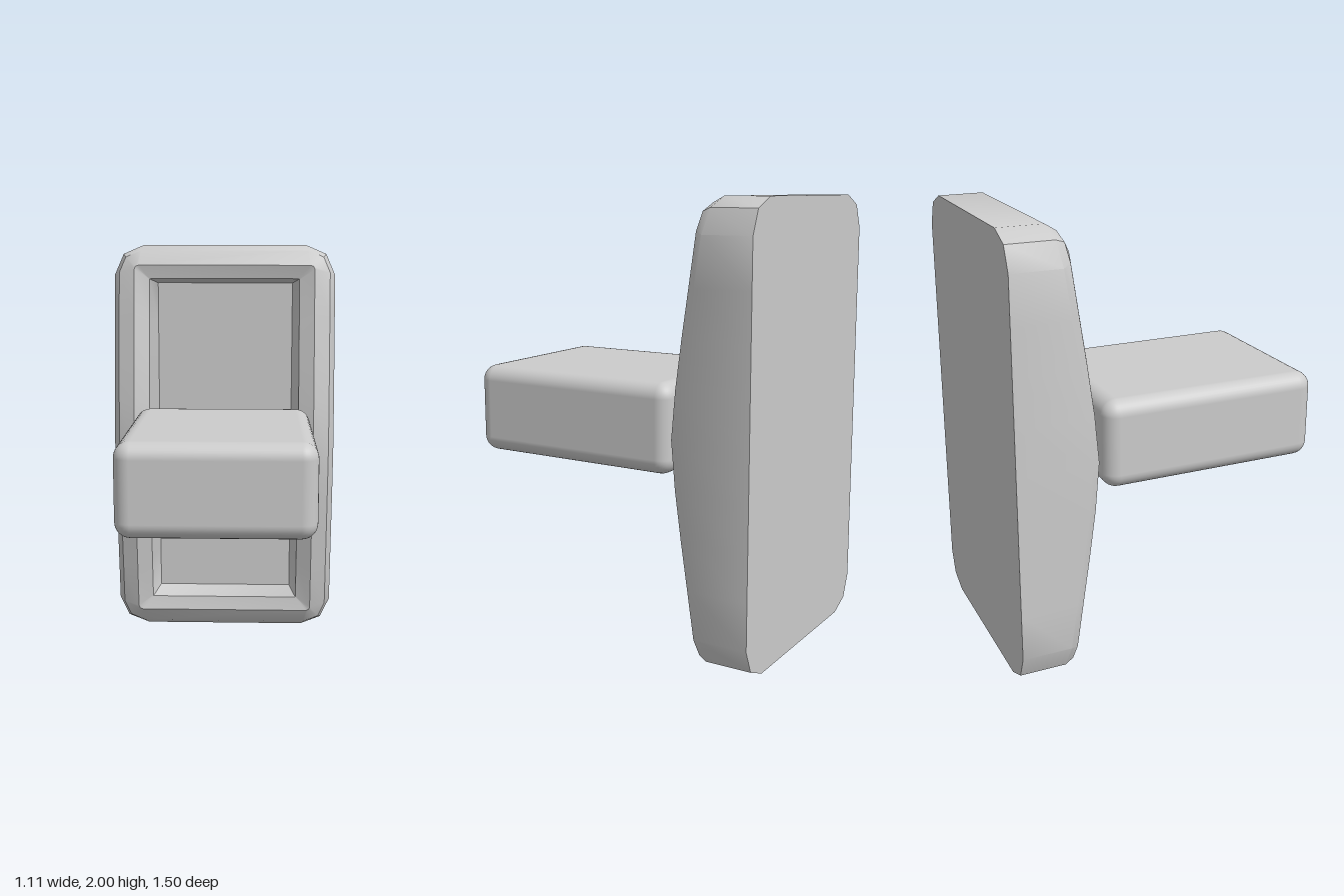
import * as THREE from 'three';
import { toCreasedNormals } from 'three/addons/utils/BufferGeometryUtils.js';
import { RoundedBoxGeometry } from 'three/addons/geometries/RoundedBoxGeometry.js';

const BACK = -0.75, FLOOR = -0.62, HALF_W = 0.557, HALF_H = 1;
const SIDE_STEPS = 8;

// Depth of the bowed front ridge at height y (piecewise linear, symmetric about y = 1)
function ridge(y) {
  const pts = [[0, -0.345], [0.25, -0.367], [0.5, -0.403], [0.77, -0.444], [1, -0.477]];
  const t = Math.abs(y - 1);
  for (let i = 1; i < pts.length; i++) {
    const [a, za] = pts[i - 1], [b, zb] = pts[i];
    if (t <= b + 1e-6) return THREE.MathUtils.lerp(za, zb, (t - a) / (b - a));
  }
  return -0.477;
}

// One counterclockwise ring: rectangle with two-facet corners, long sides subdivided
function ring({ ix, iy, r, z }) {
  const w = HALF_W - ix, h = HALF_H - iy, m = 0.3 * r;
  const half = [];
  for (let i = 0; i <= SIDE_STEPS; i++) half.push([w, (h - r) * (2 * i / SIDE_STEPS - 1)]);
  half.push([w - m, h - m], [w - r, h], [-w + r, h], [-w + m, h - m]);
  const all = [...half, ...half.map(([x, y]) => [-x, -y])];
  return all.map(([x, y]) => new THREE.Vector3(x, y + 1, z(y + 1)));
}

// Wall plate: outer wall, bevel, bowed rounded rim, recess wall, floor and back
function plateGeometry() {
  const rings = [
    { ix: 0, iy: 0, r: 0.15, z: () => BACK },
    { ix: 0, iy: 0, r: 0.15, z: y => ridge(y) - 0.068 },
    { ix: 0.027, iy: 0.027, r: 0.11, z: y => ridge(y) - 0.028 },
    { ix: 0.105, iy: 0.1, r: 0.02, z: ridge },
    { ix: 0.18, iy: 0.167, r: 0.005, z: y => ridge(y) - 0.03 },
    { ix: 0.211, iy: 0.192, r: 0.005, z: () => FLOOR },
  ].map(ring);
  const pos = [];
  const tri = (...v) => v.forEach(p => pos.push(p.x, p.y, p.z));
  const n = rings[0].length, last = rings[rings.length - 1];
  const backMid = new THREE.Vector3(0, 1, BACK), floorMid = new THREE.Vector3(0, 1, FLOOR);
  for (let i = 0; i < n; i++) {
    const j = (i + 1) % n;
    for (let k = 0; k + 1 < rings.length; k++) {
      const a = rings[k], b = rings[k + 1];
      tri(a[i], a[j], b[j]);
      tri(a[i], b[j], b[i]);
    }
    tri(last[i], last[j], floorMid);
    tri(rings[0][j], rings[0][i], backMid);
  }
  const geo = new THREE.BufferGeometry();
  geo.setAttribute('position', new THREE.Float32BufferAttribute(pos, 3));
  return toCreasedNormals(geo, 0.6);
}

export function createModel() {
  const group = new THREE.Group();
  const material = new THREE.MeshStandardMaterial({ color: 0xcccccc });
  const add = (name, geometry, y = 0, z = 0) => {
    const mesh = new THREE.Mesh(geometry, material);
    mesh.name = name;
    mesh.position.set(0, y, z);
    group.add(mesh);
  };

  add('wallPlate', plateGeometry());
  // Stem joining the recess floor to the handle
  add('stem', new THREE.BoxGeometry(0.55, 0.19, 0.4), 1.005, -0.44);
  // Rounded block handle
  add('handle', new RoundedBoxGeometry(0.85, 0.41, 1.045, 4, 0.07), 1.005, 0.2275);
  return group;
}
